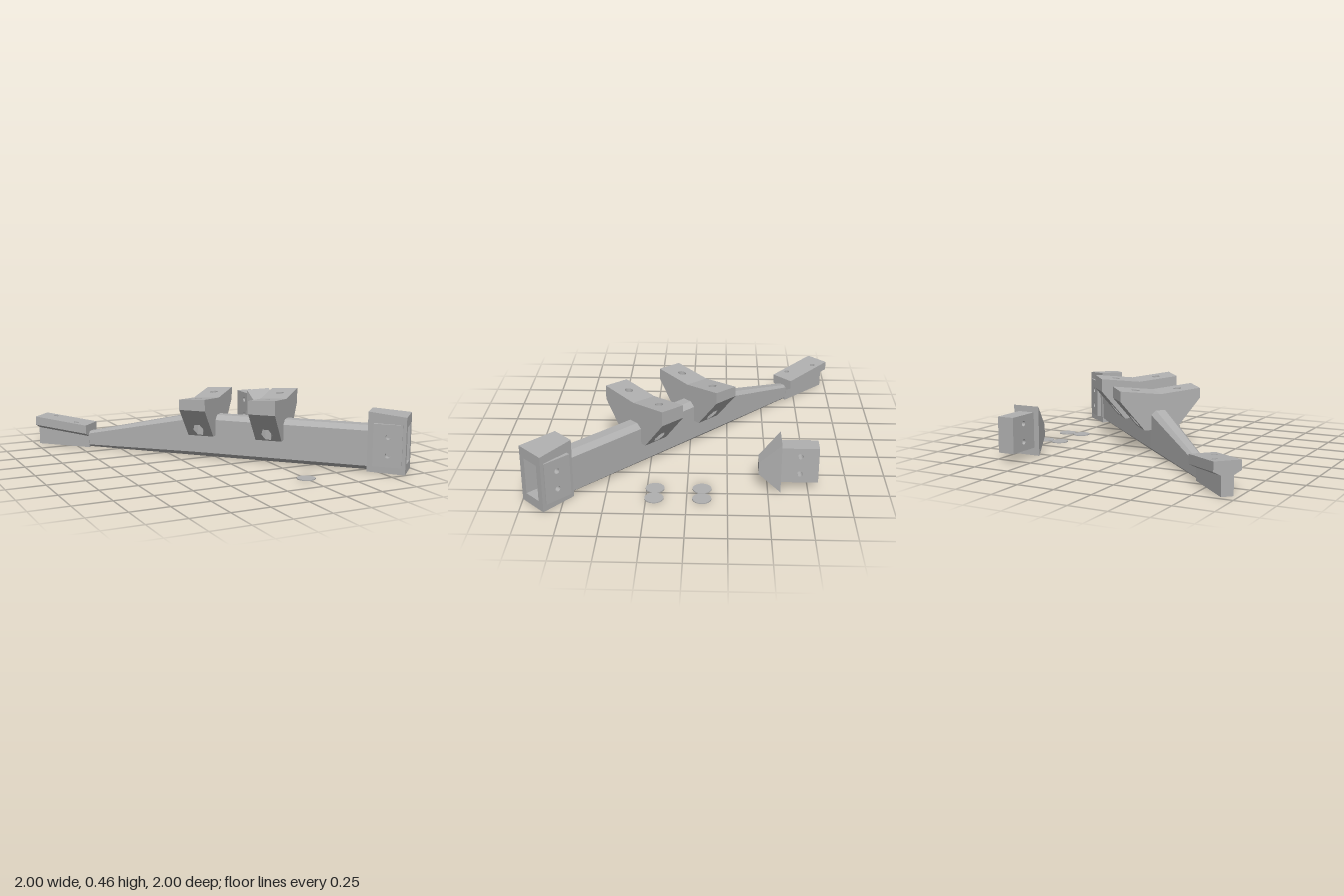
import * as THREE from 'three';
import { ConvexGeometry } from 'three/addons/geometries/ConvexGeometry.js';

export function createModel() {
  const model = new THREE.Group();
  const grey = new THREE.MeshStandardMaterial({ color: 0xb0b0b0 });
  const add = (parent, name, geometry) => {
    const mesh = new THREE.Mesh(geometry, grey);
    mesh.name = name;
    parent.add(mesh);
    return mesh;
  };
  const hull = (points) => new ConvexGeometry(points.map((p) => new THREE.Vector3(...p)));
  const box = (x0, x1, y0, y1, z0, z1) =>
    new THREE.BoxGeometry(x1 - x0, y1 - y0, z1 - z0).translate((x0 + x1) / 2, (y0 + y1) / 2, (z0 + z1) / 2);

  // Rectangle with round (or polygonal) holes: [a, b, radius, sides]
  const plate = (a0, a1, b0, b1, holes = []) => {
    const shape = new THREE.Shape();
    shape.moveTo(a0, b0).lineTo(a1, b0).lineTo(a1, b1).lineTo(a0, b1).closePath();
    for (const [a, b, r, n = 20] of holes) {
      const pts = [];
      for (let i = 0; i < n; i++) {
        const t = (-i / n) * Math.PI * 2;
        pts.push(new THREE.Vector2(a + r * Math.cos(t), b + r * Math.sin(t)));
      }
      shape.holes.push(new THREE.Path(pts));
    }
    return shape;
  };
  // Extrusion whose two caps follow lo(a, b) and hi(a, b)
  const slab = (shape, lo, hi) => {
    const g = new THREE.ExtrudeGeometry(shape, { depth: 1, bevelEnabled: false });
    const p = g.attributes.position;
    for (let i = 0; i < p.count; i++) {
      const a = p.getX(i), b = p.getY(i), t = p.getZ(i);
      p.setZ(i, lo(a, b) * (1 - t) + hi(a, b) * t);
    }
    g.computeVertexNormals();
    return g;
  };
  const upright = (shape, lo, hi) => slab(shape, lo, hi).rotateX(-Math.PI / 2);

  // Main arm, laid along local x and turned onto the diagonal
  const arm = new THREE.Group();
  arm.name = 'arm';
  arm.rotation.y = -Math.PI / 4;
  model.add(arm);

  // Chamfered beam: [x, half width, half width of flats, top, chamfer]
  const stations = [
    [-0.99, 0.035, 0.02, 0.11, 0.015],
    [-0.93, 0.037, 0.02, 0.115, 0.015],
    [-0.13, 0.065, 0.032, 0.295, 0.03],
    [1.07, 0.075, 0.035, 0.295, 0.03],
  ];
  const section = ([x, h, f, top, c]) =>
    [-1, 1].flatMap((s) => [[x, 0.005, s * f], [x, c + 0.005, s * h], [x, top - c, s * h], [x, top, s * f]]);
  for (let i = 0; i < 3; i++) {
    add(arm, 'beam', hull([...section(stations[i]), ...section(stations[i + 1])]));
  }

  // Tail: sloping drilled plate, chamfered underside, narrow foot
  const tailTop = (x) => 0.205 - 0.1 * (x + 1.33);
  add(arm, 'tailPlate', upright(
    plate(-1.33, -0.933, -0.085, 0.085, [[-1.23, 0.04, 0.018], [-1.03, -0.04, 0.018]]),
    (x) => tailTop(x) - 0.06, tailTop));
  const under = [], foot = [];
  for (const x of [-1.33, -0.933]) {
    for (const s of [-1, 1]) {
      under.push([x, tailTop(x) - 0.06, s * 0.085], [x, tailTop(x) - 0.085, s * 0.038]);
      foot.push([x, tailTop(x) - 0.08, s * 0.038], [x, 0, s * 0.038]);
    }
  }
  add(arm, 'tailChamfer', hull(under));
  add(arm, 'tailFoot', hull(foot));

  // Two winged cross brackets with bolt holes and hexagonal nut traps below
  for (const [x0, endTop] of [[-0.148, 0.433], [0.325, 0.452]]) {
    const bracket = new THREE.Group();
    bracket.name = 'crossBracket';
    arm.add(bracket);
    const x1 = x0 + 0.178, xc = x0 + 0.089;
    const top = (x, w) => endTop - 0.03 + 0.03 * Math.abs(w) / 0.277 + 0.05 * (x - xc);
    const bottom = (x, w) => 0.16 + 0.2 * (Math.abs(w) - 0.11) / 0.167;
    const middle = (x, w) => (top(x, w) + bottom(x, w)) / 2;
    for (const s of [-1, 1]) {
      const range = (a, b) => (s > 0 ? [a, b] : [-b, -a]);
      add(bracket, 'bracketCentre', upright(plate(x0, x1, ...range(0, 0.11)), () => 0.16, top));
      const wing = (hole) => plate(x0, x1, ...range(0.11, 0.277), [hole]);
      add(bracket, 'bracketWing', upright(wing([xc, s * 0.148, 0.027]), middle, top));
      add(bracket, 'nutTrap', upright(wing([xc, s * 0.15, 0.038, 6]), bottom, middle));
    }
  }

  // Socket block: hollow end with drilled cheeks
  const socket = new THREE.Group();
  socket.name = 'socket';
  arm.add(socket);
  const xa = 1.06, xb = 1.308;
  const half = (x) => 0.08 + 0.026 * (x - xa) / (xb - xa);
  const roof = (x) => 0.39 - 0.02 * (x - xa) / (xb - xa);
  const inner = 0.063;
  add(socket, 'socketRoof', hull([xa, xb].flatMap((x) => [-1, 1].flatMap((s) =>
    [[x, 0.3, s * half(x)], [x, roof(x), s * half(x)]]))));
  add(socket, 'socketFloor', hull([xa, xb].flatMap((x) => [-1, 1].flatMap((s) =>
    [[x, 0, s * half(x)], [x, 0.06, s * half(x)]]))));
  add(socket, 'socketBack', box(xa, 1.08, 0.06, 0.3, -inner, inner));
  const bolts = [[1.195, 0.12, 0.018], [1.195, 0.24, 0.018]];
  for (const s of [-1, 1]) {
    const sided = (shape, a, b) => (s > 0 ? slab(shape, a, b) : slab(shape, (x) => -b(x), (x) => -a(x)));
    add(socket, 'socketCheek', sided(plate(xa, xb, 0.06, 0.3, bolts), () => inner, half));
    add(socket, 'cheekPad', sided(plate(1.1, 1.285, 0.045, 0.32, bolts), half, () => 0.111));
  }

  // Loose plug: drilled shank and tapered head
  const plug = new THREE.Group();
  plug.name = 'plug';
  model.add(plug);
  const shank = slab(plate(0.575, 0.81, 0.06, 0.295, [[0.695, 0.12, 0.018], [0.695, 0.24, 0.018]]),
    () => 0.585, () => 0.7);
  add(plug, 'plugShank', shank.rotateY(Math.PI / 2).scale(1, 1, 1));
  const head = [];
  for (const [z, xl, xr, yl, yh] of [[-0.578, 0.547, 0.738, 0.008, 0.335], [-0.442, 0.592, 0.694, 0.11, 0.19]]) {
    for (const x of [xl, xr]) for (const y of [yl, yh]) head.push([x, y, z]);
  }
  add(plug, 'plugHead', hull(head));

  // Loose thin discs on the ground
  for (const [x, z] of [[0.7, -0.093], [0.818, -0.093], [0.7, 0.2], [0.818, 0.2], [0.25, 0.797]]) {
    add(model, 'disc', new THREE.CylinderGeometry(0.059, 0.059, 0.006, 32)).position.set(x, 0.003, z);
  }
  return model;
}
